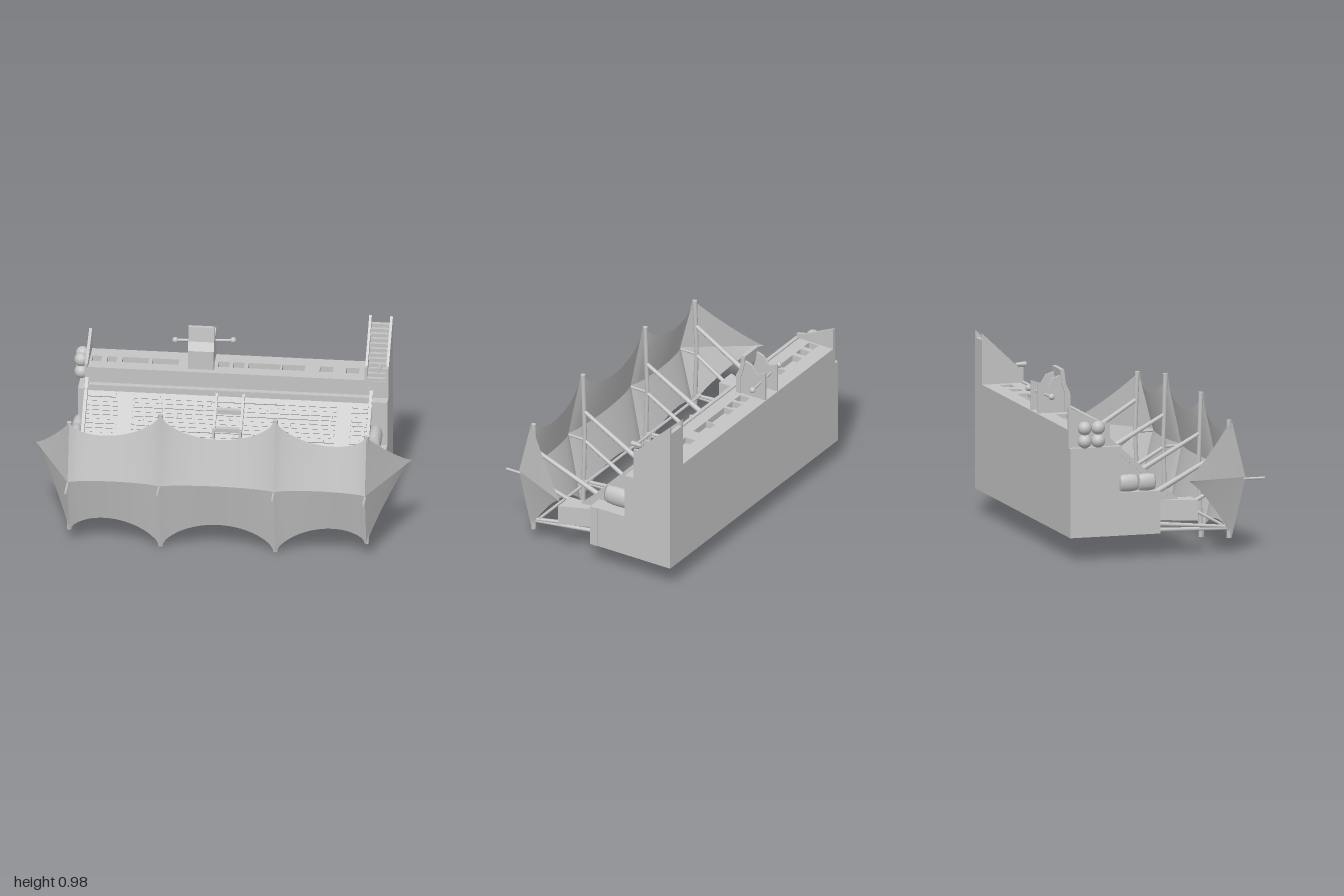
import * as THREE from 'three';

const grey = new THREE.MeshStandardMaterial({ color: 0xc4c4c4 });
grey.name = 'plain grey';
const greyCloth = new THREE.MeshStandardMaterial({ color: 0xc4c4c4, side: THREE.DoubleSide });
greyCloth.name = 'plain grey cloth';

export function createModel() {
  const root = new THREE.Group();
  root.name = 'sailFrontedHall';
  const V = (x, y, z) => new THREE.Vector3(x, y, z);
  let seed = 7;
  const rand = () => (seed = (seed * 16807) % 2147483647) / 2147483647;

  const add = (name, geo, mat = grey) => {
    const m = new THREE.Mesh(geo, mat);
    m.name = name;
    root.add(m);
    return m;
  };
  const box = (name, x0, x1, y0, y1, z0, z1) => {
    const m = add(name, new THREE.BoxGeometry(x1 - x0, y1 - y0, z1 - z0));
    m.position.set((x0 + x1) / 2, (y0 + y1) / 2, (z0 + z1) / 2);
    return m;
  };
  // Side profile of [z, y] points, extruded across x
  const prism = (name, pts, x0, x1) => {
    const g = new THREE.ExtrudeGeometry(new THREE.Shape(pts.map(p => new THREE.Vector2(...p))),
      { depth: x1 - x0, bevelEnabled: false });
    g.rotateY(-Math.PI / 2);
    g.translate(x1, 0, 0);
    return add(name, g);
  };
  const rod = (name, a, b, r0, r1 = r0) => {
    const m = add(name, new THREE.CylinderGeometry(r1, r0, a.distanceTo(b), 10));
    m.position.copy(a).lerp(b, 0.5);
    m.quaternion.setFromUnitVectors(V(0, 1, 0), b.clone().sub(a).normalize());
    return m;
  };

  // Main building with sloping deck, and the line of the walls standing on it
  const slope = 0.89;
  const deckY = z => 0.33 - slope * z;
  const rimY = z => 0.365 - 0.905 * z;
  prism('mainBody', [[-0.54, 0.125], [-0.04, 0.125], [-0.04, 0.19], [0.145, 0.19],
    [0.145, deckY(0.145)], [-0.31, deckY(-0.31)], [-0.31, 0.665], [-0.54, 0.665]], -0.77, 0.75);

  // Stepped side blocks
  const steps = top => [[-0.54, 0.125], [-0.04, 0.125], [-0.04, 0.355], [-0.255, 0.355],
    [-0.255, 0.605], [-0.31, 0.605], ...top];
  prism('rightBlock', steps([[-0.31, 0.70], [-0.54, 0.70]]), 0.75, 0.822);
  prism('outerStringer', steps([[-0.31, 0.78], [-0.335, 0.78], [-0.54, 0.975]]), 0.822, 0.836);
  prism('leftBlock', steps([[-0.54, 0.605]]), -0.808, -0.77);
  prism('leftEndPlate', [[-0.54, 0.6], [-0.31, 0.6], [-0.31, 0.725], [-0.36, 0.735], [-0.54, 0.82]], -0.778, -0.762);
  box('cornerBand', 0.74, 0.84, 0.125, 0.355, -0.085, -0.04);

  // Roof cap with sunken trays
  const cap = new THREE.Shape([[-0.77, 0.31], [0.72, 0.31], [0.72, 0.54], [-0.77, 0.54]]
    .map(p => new THREE.Vector2(...p)));
  for (const [a, b] of [[-0.75, -0.7], [-0.67, -0.62], [-0.59, -0.45], [-0.43, -0.29], [-0.08, -0.02],
    [0, 0.06], [0.08, 0.25], [0.26, 0.38], [0.46, 0.53], [0.6, 0.67]]) {
    cap.holes.push(new THREE.Path([[a, 0.395], [a, 0.455], [b, 0.455], [b, 0.395]]
      .map(p => new THREE.Vector2(...p))));
  }
  const capGeo = new THREE.ExtrudeGeometry(cap, { depth: 0.035, bevelEnabled: false });
  capGeo.rotateX(-Math.PI / 2);
  capGeo.translate(0, 0.665, 0);
  add('roofCap', capGeo);
  box('roofLip', -0.76, 0.72, 0.695, 0.708, -0.325, -0.305);
  box('wallLedge', -0.76, 0.74, 0.585, 0.618, -0.312, -0.278);

  // Deck planks laid in slightly uneven courses
  const tilt = Math.atan(slope);
  const onDeck = (m, x, z, lift) => {
    m.position.set(x, deckY(z) + lift * Math.cos(tilt), z + lift * Math.sin(tilt));
    m.rotation.x = tilt;
    return m;
  };
  const rows = 22;
  for (let i = 0; i < rows; i++) {
    const z = -0.275 + (i + 0.5) * 0.415 / rows;
    let x = -0.755;
    while (x < 0.735) {
      const w = Math.min(0.15 + rand() * 0.3, 0.735 - x);
      const t = 0.005 + rand() * 0.005;
      onDeck(add('plank', new THREE.BoxGeometry(w - 0.002, t, 0.0235)), x + w / 2, z, t / 2);
      x += w;
    }
  }
  for (const x of [-0.55, 0.61])
    onDeck(add('deckStrip', new THREE.BoxGeometry(0.08, 0.012, 0.54)), x, -0.07, 0.006);
  for (const x of [-0.775, 0.737])
    prism('deckRim', [[-0.31, deckY(-0.31)], [0.14, deckY(0.14)], [0.14, rimY(0.14)],
      [-0.31, rimY(-0.31)]], x, x + 0.018);

  // Central stairway through the deck
  for (const x of [-0.078, 0.065])
    prism('stairWall', [[-0.27, 0.55], [0.03, 0.29], [0.03, rimY(0.03)], [-0.075, rimY(-0.075)],
      [-0.083, 0.49], [-0.1, 0.49], [-0.107, rimY(-0.107)], [-0.27, rimY(-0.27)]], x, x + 0.013);
  for (const z of [-0.22, -0.14, -0.06, 0])
    box('stairTread', -0.066, 0.066, deckY(z) - 0.05, deckY(z) + 0.018, z - 0.03, z + 0.018);

  // Flared wings beside the lower deck
  for (const s of [-1, 1]) {
    const pts = [[0.73, 0.04], [0.765, 0.04], [0.85, -0.155], [0.73, -0.155]]
      .map(([x, y]) => new THREE.Vector2(s * x, y));
    const g = new THREE.ExtrudeGeometry(new THREE.Shape(pts), { depth: 0.11, bevelEnabled: false });
    g.rotateX(-Math.PI / 2);
    g.translate(0, 0.19, 0);
    add('wing', g);
  }

  // Corner stairs
  prism('innerStringer', [[-0.54, 0.66], [-0.31, 0.66], [-0.31, 0.78], [-0.335, 0.78], [-0.54, 0.975]], 0.71, 0.724);
  for (let i = 0; i < 12; i++)
    box('cornerStep', 0.722, 0.824, 0.66, 0.716 + i * 0.02, -0.54, -0.315 - i * 0.0185);
  rod('wallPeg', V(0.79, 0.785, -0.33), V(0.79, 0.785, -0.272), 0.009, 0.014);

  // Lookout box on the roof
  prism('lookoutFront', [[-0.385, 0.69], [-0.355, 0.69], [-0.356, 0.805], [-0.38, 0.85], [-0.39, 0.93],
    [-0.412, 0.93], [-0.402, 0.85], [-0.385, 0.8]], -0.235, -0.097);
  for (const x of [-0.23, -0.114])
    prism('lookoutSide', [[-0.535, 0.69], [-0.375, 0.69], [-0.385, 0.8], [-0.405, 0.9], [-0.45, 0.885],
      [-0.48, 0.84], [-0.535, 0.86]], x, x + 0.012);
  const armL = V(-0.315, 0.8, -0.485), armR = V(-0.01, 0.8, -0.515);
  rod('lookoutArm', armL, armR, 0.007);
  for (const p of [armL, armR])
    add('armKnob', new THREE.SphereGeometry(0.017, 12, 8)).position.copy(p);

  // Barrels and sacks, all lying along z
  const barrel = (name, x, y, z, r, len) => {
    const prof = [[0, -0.5], [0.8, -0.5], [0.93, -0.42], [1, -0.15], [1, 0.15], [0.93, 0.42], [0.8, 0.5], [0, 0.5]]
      .map(([a, b]) => new THREE.Vector2(a * r, b * len));
    const m = add(name, new THREE.LatheGeometry(prof, 16));
    m.rotation.x = Math.PI / 2;
    m.scale.x = 0.68;
    m.position.set(x, y, z);
  };
  barrel('rightBarrel', 0.777, 0.425, -0.181, 0.055, 0.15);
  for (const z of [-0.46, -0.385])
    for (const y of [0.71, 0.64])
      add('endSack', new THREE.SphereGeometry(0.037, 14, 10)).position.set(-0.805, y, z);
  barrel('leftBarrel', -0.803, 0.405, -0.217, 0.046, 0.1);
  barrel('leftBarrel', -0.803, 0.405, -0.117, 0.046, 0.09);

  // Cloth patch between an outer edge and the ridge line
  const N = 20, M = 6;
  const cloth = (edge, ridge) => {
    const g = new THREE.PlaneGeometry(1, 1, N, M);
    const p = g.attributes.position;
    for (let i = 0; i < p.count; i++) {
      const u = p.getX(i) + 0.5, v = p.getY(i) + 0.5;
      const q = ridge(u).lerp(edge(u), v);
      p.setXYZ(i, q.x, q.y, q.z);
    }
    g.computeVertexNormals();
    add('sail', g, greyCloth);
  };
  const masts = [[-0.79, 0.075, 0.715], [-0.305, 0, 0.785], [0.305, 0, 0.785], [0.79, 0.075, 0.715]];
  const edgeZ = 0.36;
  const bow = t => Math.pow(Math.max(0, 4 * t * (1 - t)), 0.65);
  for (let k = 0; k < 3; k++) {
    const a = masts[k], b = masts[k + 1], sag = k === 1 ? 0.14 : 0.108;
    const at = (u, j) => a[j] + (b[j] - a[j]) * u;
    const ridge = u => V(at(u, 0), 0.4, 0.438 - 0.033 * bow(u));
    for (const [j, dir] of [[2, -1], [1, 1]])
      cloth(u => V(at(u, 0), at(u, j) + dir * sag * bow(u), edgeZ - 0.018 * bow(u)), ridge);
  }
  // Swept side sails running to a point
  for (const s of [-1, 1]) {
    const tip = V(s, 0.43, 0.045);
    const ridge = u => V(s * 0.79, 0.4, 0.438).lerp(tip, u);
    for (const [y, dy] of [[0.715, -0.02], [0.075, 0.045]])
      cloth(u => {
        const q = V(s * 0.79, y, edgeZ).lerp(tip, u);
        q.y += dy * bow(u);
        return q;
      }, ridge);
  }

  // Masts, spikes and struts
  for (const [x, lo, hi] of masts) {
    for (const [y, d] of [[lo, 1], [hi, -1]])
      rod('mast', V(x, 0.4, 0.335), V(x, y + d * 0.004, 0.347), 0.011, 0.013);
    rod('spike', V(x, 0.39, 0.33), V(x, 0.39, x < -0.7 ? 0.545 : 0.515), 0.007);
    const ix = x > 0.7 ? 0.715 : x < -0.7 ? -0.775 : x;
    rod('lowerStrut', V(ix, 0.14, -0.06), V(x, 0.13, 0.335), 0.012, 0.009);
    rod('lowerBrace', V(ix, 0.172, -0.06), V(x, 0.14, 0.335), 0.012, 0.009);
    rod('upperStrut', V(ix, 0.345, -0.05), V(x, 0.56, 0.338), 0.015, 0.011);
    rod('middleStrut', V(ix, 0.25, 0.1), V(x, 0.385, 0.335), 0.012, 0.01);
  }
  rod('crossBar', V(-0.79, 0.15, 0.31), V(0.79, 0.15, 0.31), 0.008);

  return root;
}
